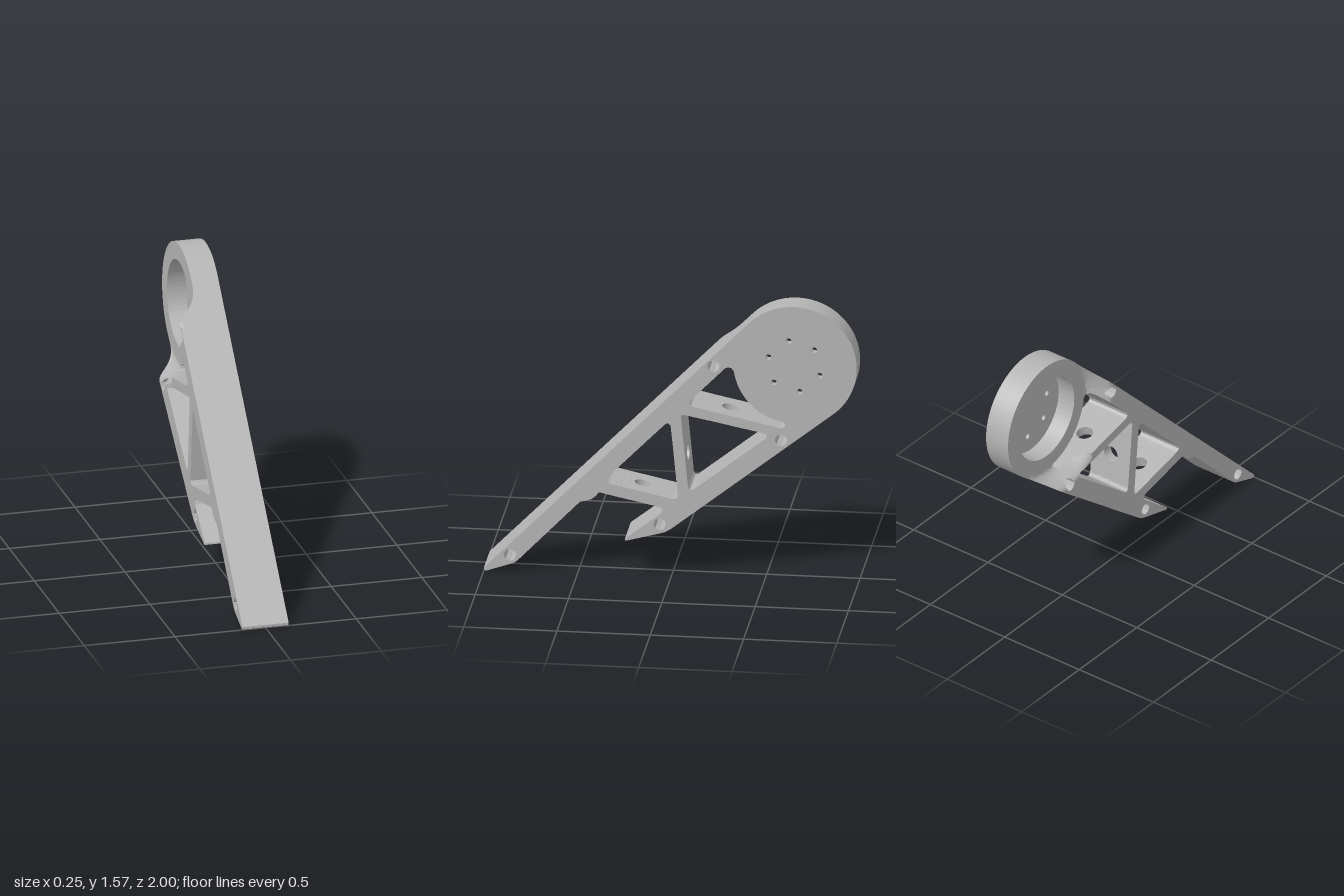
import * as THREE from 'three';
import { toCreasedNormals } from 'three/addons/utils/BufferGeometryUtils.js';

// Side profiles are drawn in (u, y) with u = -z, then extruded along x.
const HALF = 0.1275;            // half width of the arm
const DISC = { u: 0.662, y: 1.235, r: 0.336 };
const POCKET = 0.24;            // radius of the round pocket
const FLOOR_X = 0.085;          // inner face of the pocket floor

const V = (x, y) => new THREE.Vector2(x, y);

function arc(u, y, r, a0, a1, n) {
  const pts = [];
  for (let i = 0; i <= n; i++) {
    const a = THREE.MathUtils.degToRad(a0 + (a1 - a0) * i / n);
    pts.push(V(u + r * Math.cos(a), y + r * Math.sin(a)));
  }
  return pts;
}
const circle = (u, y, r, n) => arc(u, y, r, 0, 360 * (n - 1) / n, n - 1);
const pairs = (...a) => a.map(([x, y]) => V(x, y));

function extrude(outline, holes, depth) {
  const shape = new THREE.Shape(outline);
  holes.forEach(h => shape.holes.push(new THREE.Path(h)));
  return new THREE.ExtrudeGeometry(shape, { depth, bevelEnabled: false, steps: 1 });
}

// Halve the longest edge of each triangle until all edges are short
function refine(geometry, limit) {
  const p = geometry.attributes.position, stack = [], out = [];
  for (let i = 0; i < p.count; i += 3) {
    stack.push([0, 1, 2].map(k => new THREE.Vector3().fromBufferAttribute(p, i + k)));
  }
  while (stack.length) {
    const t = stack.pop();
    const len = [0, 1, 2].map(k => t[k].distanceTo(t[(k + 1) % 3]));
    const k = len.indexOf(Math.max(...len));
    if (len[k] <= limit) { out.push(t); continue; }
    const a = t[k], b = t[(k + 1) % 3], c = t[(k + 2) % 3];
    const m = a.clone().add(b).multiplyScalar(0.5);
    stack.push([a, m, c], [m, b, c]);
  }
  return out;
}

// Depth of the right-hand face: low on the disc, swept up to full width around it
function faceX(u, y) {
  const r = Math.hypot(u - DISC.u, y - DISC.y);
  return -0.02 - (HALF - 0.02) * THREE.MathUtils.smoothstep(r, 0.335, 0.43);
}

function frameGeometry() {
  const outline = [
    // lower end of the long beam
    ...pairs([-1, 0.018], [-1, 0.004], [-0.985, 0.002], [-0.86, 0.045], [-0.838, 0.053], [-0.817, 0.07],
      [-0.485, 0.415], [-0.453, 0.423], [-0.425, 0.432], [-0.402, 0.45], [-0.383, 0.473],
      // lower window, then the lower triangle
      [-0.27, 0.449], [-0.27, 0.513], [-0.335, 0.527], [-0.348, 0.538], [-0.345, 0.553],
      [-0.03, 0.874], [-0.014, 0.882], [0, 0.87],
      // middle window, then the middle triangle
      [0.0097, 0.78], [0.0691, 0.78], [0.056, 0.917], [0.06, 0.929], [0.072, 0.933],
      // upper window, then the opening beside the disc
      [0.2, 0.9075], [0.2, 0.964], [0.11, 0.983], [0.099, 0.995], [0.103, 1.013],
      [0.292, 1.206], [0.307, 1.213], [0.325, 1.21], [0.338, 1.195]),
    ...arc(DISC.u, DISC.y, 0.325, 190, 260, 24),
    ...pairs([0.614, 0.902], [0.609, 0.886], [0.592, 0.88],
      [0.4, 0.921], [0.4, 0.8679], [0.5, 0.848], [0.517, 0.838], [0.512, 0.82],
      [0.12, 0.51], [0.104, 0.507], [0.094, 0.52],
      [0.0883, 0.58], [0.0291, 0.58], [0.04, 0.468], [0.031, 0.455], [0.013, 0.452],
      [-0.07, 0.47], [-0.07, 0.407], [-0.056, 0.404], [-0.041, 0.392], [-0.05, 0.368],
      // lower end of the short beam
      [-0.244, 0.217], [-0.246, 0.208], [-0.235, 0.206], [-0.056, 0.255], [-0.028, 0.264], [0, 0.281]),
    // rounded head
    ...arc(DISC.u, DISC.y, DISC.r, -51.6, 135.5, 56),
  ];
  const bolts = [[-0.86, 0.097], [-0.058, 0.307], [0.23, 1.215], [0.592, 0.812]]
    .map(([u, y]) => circle(u, y, 0.034, 8));
  const g = extrude(outline, [...bolts, circle(DISC.u, DISC.y, POCKET, 48)], HALF * 2);
  g.translate(0, 0, -HALF);
  const pos = [], tri = new THREE.Triangle();
  for (const t of refine(g, 0.025)) {
    const [a, b, c] = t.map(v => new THREE.Vector3(v.x, v.y, Math.max(v.z, faceX(v.x, v.y))));
    if (tri.set(a, b, c).getArea() < 1e-9) continue;
    for (const v of [a, b, c]) pos.push(v.z, v.y, -v.x);
  }
  const out = new THREE.BufferGeometry();
  out.setAttribute('position', new THREE.Float32BufferAttribute(pos, 3));
  return toCreasedNormals(out, 0.6);
}

// Pocket floor with a ring of six screw holes
function floorGeometry() {
  const screws = [];
  for (let i = 0; i < 6; i++) {
    const a = THREE.MathUtils.degToRad(42 + 60 * i - 0.5);
    screws.push(circle(DISC.u + 0.145 * Math.cos(a), DISC.y + 0.145 * Math.sin(a), 0.016, 10));
  }
  const g = extrude(circle(DISC.u, DISC.y, POCKET, 48), screws, HALF - FLOOR_X);
  g.translate(0, 0, FLOOR_X);
  g.rotateY(Math.PI / 2);
  return toCreasedNormals(g, 0.6);
}

// Cross web: a plate across the arm with a round hole through it
function crossWeb(a, b, thickness, material) {
  const half = a.distanceTo(b) / 2 + 0.006;
  const rect = pairs([-half, -HALF], [half, -HALF], [half, HALF], [-half, HALF]);
  const g = extrude(rect, [circle(0, 0, 0.045, 24)], thickness);
  g.translate(0, 0, -thickness / 2);
  const d = b.clone().sub(a).normalize();
  g.applyMatrix4(new THREE.Matrix4().makeBasis(
    new THREE.Vector3(0, d.y, -d.x),
    new THREE.Vector3(1, 0, 0),
    new THREE.Vector3(0, -d.x, -d.y)
  ).setPosition(0, (a.y + b.y) / 2, -(a.x + b.x) / 2));
  const mesh = new THREE.Mesh(toCreasedNormals(g, 0.6), material);
  mesh.name = 'crossWeb';
  return mesh;
}

export function createModel() {
  const group = new THREE.Group();
  group.name = 'armBracket';
  const grey = new THREE.MeshStandardMaterial({ color: 0xb4b4b4 });
  grey.name = 'grey';

  const frame = new THREE.Mesh(frameGeometry(), grey);
  frame.name = 'frame';
  const floor = new THREE.Mesh(floorGeometry(), grey);
  floor.name = 'pocketFloor';
  group.add(frame, floor);

  const webs = [
    [V(0.2, 0.9358), V(0.4, 0.8945), 0.0535],
    [V(0.0394, 0.78), V(0.0587, 0.58), 0.059],
    [V(-0.27, 0.481), V(-0.07, 0.4385), 0.062],
  ];
  for (const [a, b, t] of webs) group.add(crossWeb(a, b, t, grey));
  return group;
}
